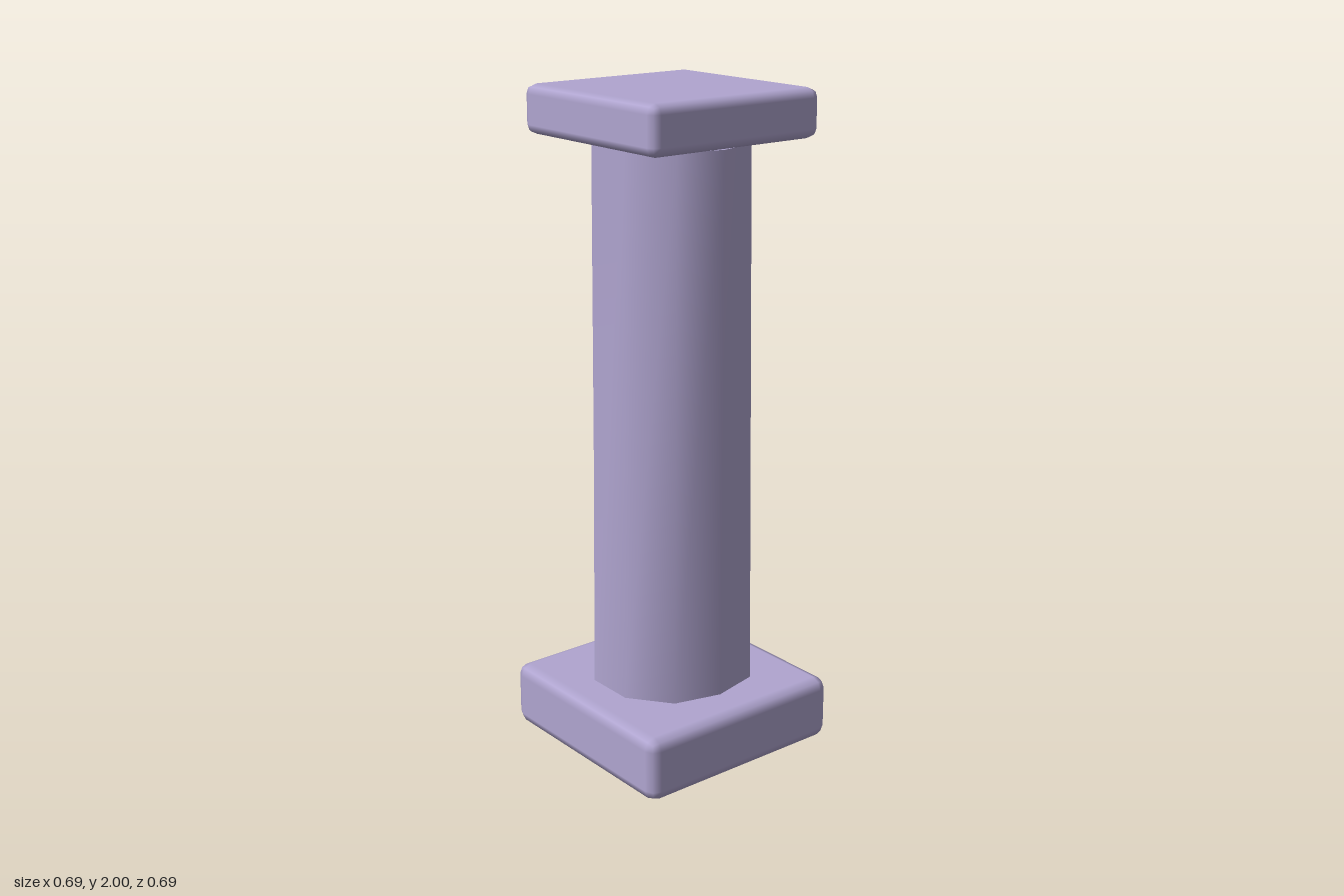
import * as THREE from 'three';
import { RoundedBoxGeometry } from 'three/addons/geometries/RoundedBoxGeometry.js';

// Slightly irregular ten-sided outlines of the shaft, as [x, z]
const FOOT = [[0.247, 0.066], [0.149, 0.204], [0, 0.238], [-0.145, 0.2], [-0.237, 0.077],
  [-0.237, -0.077], [-0.143, -0.2], [0, -0.249], [0.147, -0.2], [0.238, -0.077]];
const HEAD = [[0.231, 0.066], [0.125, 0.204], [0, 0.236], [-0.135, 0.195], [-0.221, 0.072],
  [-0.221, -0.072], [-0.135, -0.195], [0, -0.238], [0.14, -0.195], [0.228, -0.07]];

// Quad strip between two outlines, smooth from corner `from` to corner `to`
function strip(lower, y0, upper, y1, from, to) {
  const position = [], index = [];
  for (let i = from; i <= to; i++) {
    const a = lower[i % lower.length], b = upper[i % upper.length];
    position.push(a[0], y0, a[1], b[0], y1, b[1]);
    if (i < to) {
      const k = (i - from) * 2;
      index.push(k, k + 1, k + 2, k + 2, k + 1, k + 3);
    }
  }
  const geometry = new THREE.BufferGeometry();
  geometry.setAttribute('position', new THREE.Float32BufferAttribute(position, 3));
  geometry.setIndex(index);
  geometry.computeVertexNormals();
  return geometry;
}

const shrink = (ring, s) => ring.map(([x, z]) => [x * s, z * s]);

export function createModel() {
  const model = new THREE.Group();
  model.name = 'column';
  const stone = new THREE.MeshStandardMaterial({ color: 0xb0a5d0, side: THREE.DoubleSide });

  const add = (parent, name, geometry, y = 0) => {
    const mesh = new THREE.Mesh(geometry, stone);
    mesh.name = name;
    mesh.position.y = y;
    parent.add(mesh);
  };

  // Square slabs with softened edges
  add(model, 'base', new RoundedBoxGeometry(0.694, 0.198, 0.694, 1, 0.035), 0.099);
  add(model, 'capital', new RoundedBoxGeometry(0.596, 0.142, 0.596, 1, 0.028), 1.929);

  // Tapered shaft: smooth runs separated by three sharp edges
  const shaft = new THREE.Group();
  shaft.name = 'shaft';
  model.add(shaft);
  for (const [from, to] of [[0, 1], [1, 6], [6, 10]]) {
    add(shaft, 'shaftSide', strip(FOOT, 0.207, HEAD, 1.848, from, to));
  }

  // Shallow tucked-in ends where the shaft meets the slabs
  add(shaft, 'shaftFoot', strip(shrink(FOOT, 0.8), 0.19, FOOT, 0.207, 0, 10));
  add(shaft, 'shaftHead', strip(HEAD, 1.848, shrink(HEAD, 0.8), 1.862, 0, 10));

  return model;
}
